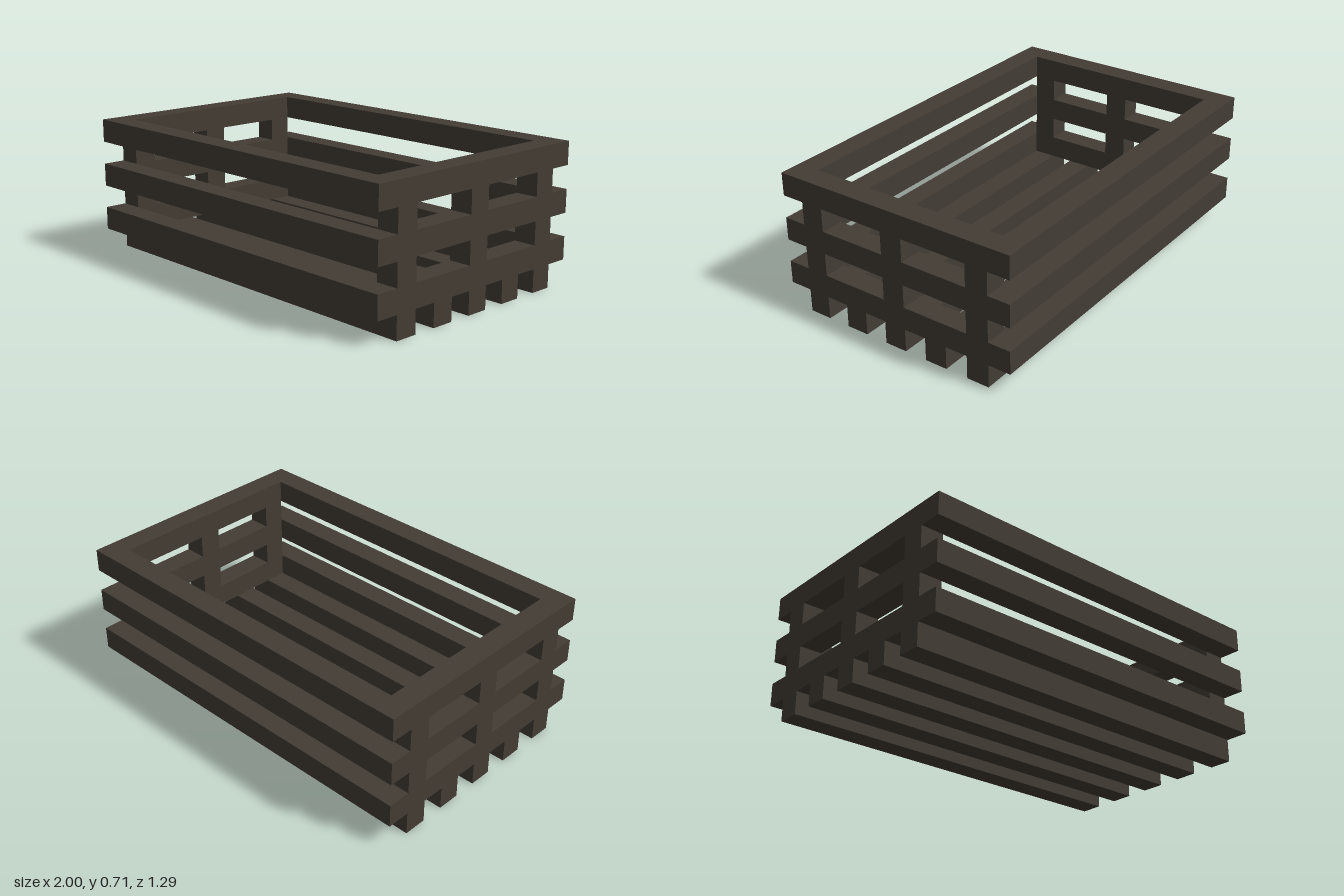
import * as THREE from 'three';

const U = 2 / 17; // thickness of every bar; the crate is 17 x 6 x 11 bars

export function createModel() {
  const crate = new THREE.Group();
  crate.name = 'slattedCrate';
  const darkWood = new THREE.MeshStandardMaterial({ color: 0x433c34 });
  darkWood.name = 'darkWood';

  const add = (name, geometry, x, y, z) => {
    const mesh = new THREE.Mesh(geometry, darkWood);
    mesh.name = name;
    mesh.position.set(x * U, y * U, z * U);
    crate.add(mesh);
  };

  // Traces a centred rectangle on a shape or hole
  const rectangle = (path, w, d) => {
    const x = (w * U) / 2, y = (d * U) / 2;
    path.moveTo(-x, -y).lineTo(x, -y).lineTo(x, y).lineTo(-x, y).closePath();
    return path;
  };

  // Three rectangular frames stacked with gaps
  const outline = rectangle(new THREE.Shape(), 17, 11);
  outline.holes.push(rectangle(new THREE.Path(), 15, 9));
  const frame = new THREE.ExtrudeGeometry(outline, { depth: U, bevelEnabled: false });
  frame.rotateX(-Math.PI / 2);
  ['lowerFrame', 'middleFrame', 'topFrame'].forEach((name, i) => add(name, frame, 0, 1 + 2 * i, 0));

  // Floor slats running the full length under the lowest frame
  const slat = new THREE.BoxGeometry(17 * U, U, U);
  for (let z = -4; z <= 4; z += 2) add('floorSlat', slat, 0, 0.5, z);

  // Short uprights between the frames at both ends
  const post = new THREE.BoxGeometry(U, U, U);
  for (const x of [-8, 8])
    for (const y of [2.5, 4.5])
      for (const z of [-4, 0, 4]) add(x > 0 ? 'leftPost' : 'rightPost', post, x, y, z);

  return crate;
}
